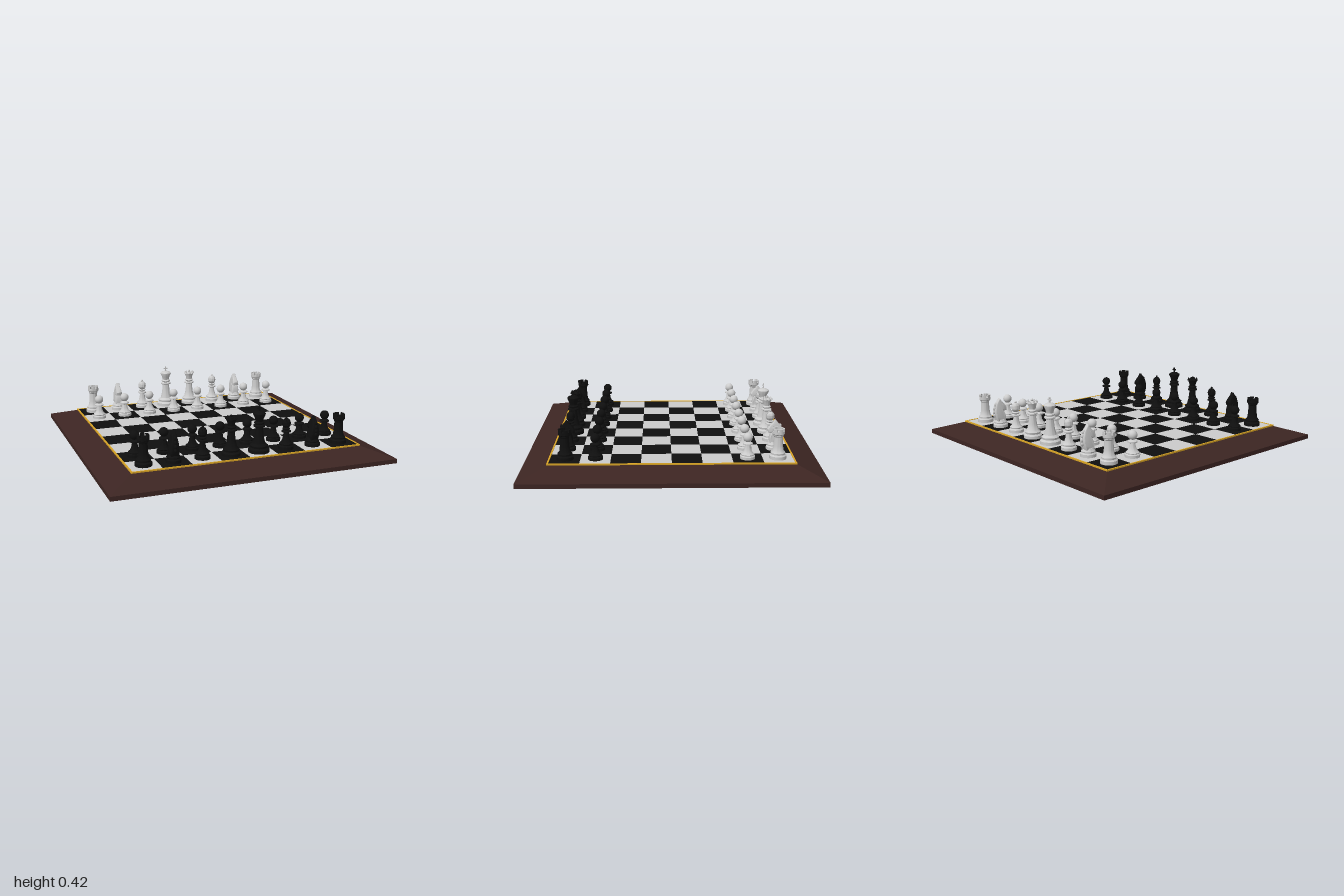
import * as THREE from 'three';
import { toCreasedNormals } from 'three/addons/utils/BufferGeometryUtils.js';

const CELL = 0.2015, TOP = 0.098;
const material = (color) => new THREE.MeshStandardMaterial({ color });

// Turned body from [radius, height] pairs, closed at the bottom
function turned(points, segments = 32) {
  const profile = [[0, 0], ...points].map(([r, y]) => new THREE.Vector2(r, y));
  return toCreasedNormals(new THREE.LatheGeometry(profile, segments), 0.6);
}

const ball = (r, y, sy = 1) => new THREE.SphereGeometry(r, 24, 14).scale(1, sy, 1).translate(0, y, 0);

// Solid ring segment standing on height y
function ringSegment(outer, inner, from, to, y, height) {
  const s = new THREE.Shape();
  s.absarc(0, 0, outer, from, to, false);
  s.absarc(0, 0, inner, to, from, true);
  return new THREE.ExtrudeGeometry(s, { depth: height, bevelEnabled: false, curveSegments: 5 })
    .rotateX(-Math.PI / 2).translate(0, y, 0);
}

function pawnParts() {
  return {
    body: turned([[0.05, 0], [0.05, 0.018], [0.043, 0.025], [0.045, 0.031], [0.032, 0.043], [0.023, 0.062],
      [0.018, 0.092], [0.033, 0.098], [0.033, 0.106], [0.018, 0.114], [0, 0.118]]),
    head: ball(0.032, 0.145),
  };
}

function rookParts() {
  const parts = {
    body: turned([[0.057, 0], [0.057, 0.022], [0.048, 0.031], [0.049, 0.042], [0.037, 0.056], [0.032, 0.09],
      [0.029, 0.15], [0.034, 0.157], [0.034, 0.163], [0.041, 0.17], [0.041, 0.188], [0.029, 0.188],
      [0.029, 0.178], [0, 0.178]]),
  };
  for (let i = 0; i < 6; i++) {
    const a = i * Math.PI / 3;
    parts['battlement' + (i + 1)] = ringSegment(0.041, 0.029, a, a + 0.72, 0.188, 0.018);
  }
  return parts;
}

function knightParts() {
  // Side outline of head and neck, facing +z
  const outline = [[-0.03, 0.05], [-0.043, 0.085], [-0.045, 0.13], [-0.036, 0.165], [-0.018, 0.188],
    [-0.006, 0.205], [0.003, 0.187], [0.02, 0.172], [0.04, 0.143], [0.036, 0.126], [0.024, 0.124],
    [0.006, 0.136], [0.018, 0.11], [0.028, 0.08], [0.026, 0.05]];
  const shape = new THREE.Shape(outline.map(([z, y]) => new THREE.Vector2(z, y)));
  const horse = new THREE.ExtrudeGeometry(shape, {
    depth: 0.024, bevelThickness: 0.012, bevelSize: 0.006, bevelSegments: 3,
  }).translate(0, 0, -0.012).rotateY(-Math.PI / 2);
  // Thin the head toward the ears
  const p = horse.attributes.position;
  for (let i = 0; i < p.count; i++) {
    p.setX(i, p.getX(i) * (1.2 - 0.6 * THREE.MathUtils.smoothstep(p.getY(i), 0.08, 0.21)));
  }
  const parts = {
    base: turned([[0.053, 0], [0.053, 0.02], [0.045, 0.029], [0.047, 0.037], [0.038, 0.049], [0.035, 0.058], [0, 0.06]]),
    horseHead: toCreasedNormals(horse, 0.6),
  };
  // Mane locks along the back of the neck, and eyes
  [[-0.048, 0.09], [-0.05, 0.115], [-0.047, 0.14], [-0.039, 0.165]].forEach(([z, y], i) => {
    parts['maneLock' + (i + 1)] = new THREE.SphereGeometry(0.012, 10, 8).scale(0.9, 1.4, 1).translate(0, y, z);
  });
  for (const side of [-1, 1]) {
    parts[side > 0 ? 'leftEye' : 'rightEye'] = new THREE.SphereGeometry(0.004, 8, 6).translate(side * 0.016, 0.163, 0.008);
  }
  return parts;
}

function bishopParts() {
  const parts = {
    body: turned([[0.053, 0], [0.053, 0.02], [0.044, 0.029], [0.046, 0.038], [0.031, 0.052], [0.022, 0.08],
      [0.018, 0.113], [0.032, 0.119], [0.032, 0.126], [0.019, 0.132], [0.026, 0.139], [0.026, 0.144],
      [0.016, 0.15], [0.024, 0.156], [0.029, 0.166], [0, 0.168]]),
    finial: ball(0.008, 0.217),
  };
  // Mitre: two capped halves of an egg with a slanted slot between them
  const r = 0.03;
  for (const side of [-1, 1]) {
    const cut = side > 0 ? 0.009 : -0.004;
    const pts = [new THREE.Vector2(0, cut)];
    const start = Math.asin(cut / r);
    for (let i = 0; i <= 10; i++) {
      const a = THREE.MathUtils.lerp(start, Math.PI / 2, i / 10);
      pts.push(new THREE.Vector2(r * Math.cos(a), r * Math.sin(a)));
    }
    if (side < 0) {
      pts.forEach((v, i) => {
        if (!i) return v.set(0, -0.005);
        const a = THREE.MathUtils.lerp(Math.asin(0.005 / r), -Math.PI / 2, (i - 1) / 10);
        v.set(r * Math.cos(a), r * Math.sin(a));
      });
      pts.reverse();
    }
    parts[side > 0 ? 'mitreLeft' : 'mitreRight'] = toCreasedNormals(new THREE.LatheGeometry(pts, 28), 0.6)
      .rotateZ(-Math.PI / 2 - 0.12).scale(1, 1.2, 1).translate(0, 0.178, 0);
  }
  return parts;
}

function queenParts() {
  const parts = {
    body: turned([[0.064, 0], [0.064, 0.02], [0.053, 0.031], [0.056, 0.044], [0.041, 0.058], [0.03, 0.1],
      [0.023, 0.162], [0.037, 0.169], [0.037, 0.177], [0.026, 0.184], [0.031, 0.19], [0.031, 0.196],
      [0.023, 0.203], [0.027, 0.225], [0.038, 0.252], [0.031, 0.254], [0.025, 0.247], [0.018, 0.258], [0, 0.264]]),
    finial: ball(0.009, 0.268),
  };
  for (let i = 0; i < 8; i++) {
    const a = (i + 0.5) * Math.PI / 4;
    parts['crownPoint' + (i + 1)] = new THREE.ConeGeometry(0.011, 0.02, 8)
      .translate(0.033 * Math.sin(a), 0.259, 0.033 * Math.cos(a));
  }
  return parts;
}

function kingParts() {
  return {
    body: turned([[0.071, 0], [0.071, 0.022], [0.058, 0.034], [0.061, 0.048], [0.043, 0.063], [0.032, 0.105],
      [0.025, 0.17], [0.039, 0.177], [0.039, 0.186], [0.028, 0.193], [0.034, 0.199], [0.034, 0.206],
      [0.025, 0.213], [0.03, 0.235], [0.042, 0.26], [0.042, 0.267], [0.03, 0.277], [0.01, 0.284], [0, 0.284]]),
    crossUpright: new THREE.BoxGeometry(0.009, 0.042, 0.008).translate(0, 0.299, 0),
    crossArm: new THREE.BoxGeometry(0.032, 0.009, 0.008).translate(0, 0.303, 0),
  };
}

// One army on the -z side, facing +z
function army(pieces, mat) {
  const group = new THREE.Group();
  const place = (name, col, row) => {
    const piece = new THREE.Group();
    piece.name = name;
    for (const [part, geometry] of Object.entries(pieces[name])) {
      const mesh = new THREE.Mesh(geometry, mat);
      mesh.name = part;
      piece.add(mesh);
    }
    piece.position.set((col - 3.5) * CELL, TOP, (row - 3.5) * CELL);
    group.add(piece);
  };
  ['rook', 'knight', 'bishop', 'king', 'queen', 'bishop', 'knight', 'rook'].forEach((name, col) => {
    place(name, col, 0);
    place('pawn', col, 1);
  });
  return group;
}

function createBoard(light, dark) {
  const board = new THREE.Group();
  board.name = 'board';
  const add = (name, geometry, mat) => {
    const mesh = new THREE.Mesh(geometry, mat);
    mesh.name = name;
    board.add(mesh);
    return mesh;
  };
  const wood = material(0x3c2522);
  wood.flatShading = true;

  // Wooden plinth and sloping border
  add('plinth', new THREE.BoxGeometry(2, 0.03, 2).translate(0, 0.015, 0), wood);
  add('slopedBorder', new THREE.CylinderGeometry(0.815 * Math.SQRT2, Math.SQRT2, 0.062, 4)
    .rotateY(Math.PI / 4).translate(0, 0.061, 0), wood);

  // Gilt edging around the playing field
  const square = (path, h) => path.moveTo(-h, -h).lineTo(h, -h).lineTo(h, h).lineTo(-h, h).closePath();
  const edge = square(new THREE.Shape(), 0.817);
  edge.holes.push(square(new THREE.Path(), 4 * CELL));
  add('giltEdging', new THREE.ExtrudeGeometry(edge, { depth: 0.012, bevelEnabled: false })
    .rotateX(-Math.PI / 2).translate(0, 0.089, 0), material(0xd9a425));

  // Playing squares
  const tile = new THREE.BoxGeometry(CELL, 0.01, CELL);
  for (let col = 0; col < 8; col++) {
    for (let row = 0; row < 8; row++) {
      const isLight = (col + row) % 2 === 1;
      add(isLight ? 'lightSquare' : 'darkSquare', tile, isLight ? light : dark)
        .position.set((col - 3.5) * CELL, TOP - 0.005, (row - 3.5) * CELL);
    }
  }
  return board;
}

export function createModel() {
  const model = new THREE.Group();
  model.name = 'chessSet';
  const light = material(0xcccccc), dark = material(0x0f0f0f);
  const pieces = {
    pawn: pawnParts(), rook: rookParts(), knight: knightParts(),
    bishop: bishopParts(), queen: queenParts(), king: kingParts(),
  };
  const lightArmy = army(pieces, light), darkArmy = army(pieces, dark);
  lightArmy.name = 'lightPieces';
  darkArmy.name = 'darkPieces';
  darkArmy.rotation.y = Math.PI;
  model.add(createBoard(light, dark), lightArmy, darkArmy);
  return model;
}
